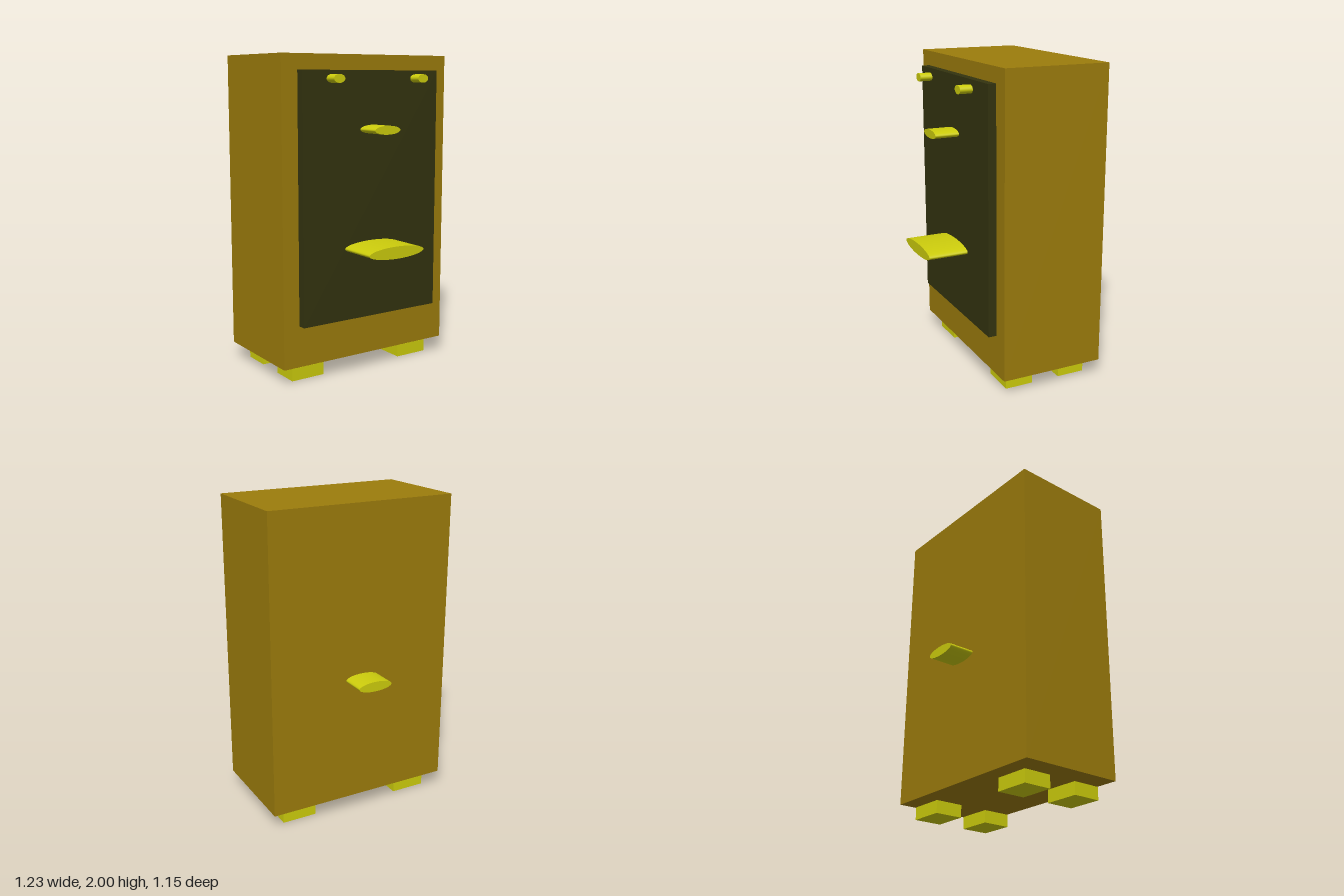
import * as THREE from 'three';

const mat = (name, color) => {
  const m = new THREE.MeshStandardMaterial({ color });
  m.name = name;
  return m;
};

export function createModel() {
  const group = new THREE.Group();
  const wood = mat('ochre wood', 0x9c7c0c);
  const dark = mat('dark olive', 0x33330f);
  const yellow = mat('yellow', 0xcccc0c);

  const add = (name, geometry, material, x, y, z) => {
    const mesh = new THREE.Mesh(geometry, material);
    mesh.name = name;
    mesh.position.set(x, y, z);
    group.add(mesh);
  };

  // Box given by its limits on each axis
  const box = (name, material, [x0, x1], [y0, y1], [z0, z1]) =>
    add(name, new THREE.BoxGeometry(x1 - x0, y1 - y0, z1 - z0), material,
      (x0 + x1) / 2, (y0 + y1) / 2, (z0 + z1) / 2);

  // Flattened cylinder lying along z, with an elliptical section
  const oval = (name, x, y, rx, ry, z0, z1) => {
    const g = new THREE.CylinderGeometry(1, 1, z1 - z0, 48);
    g.rotateX(Math.PI / 2).scale(rx, ry, 1);
    add(name, g, yellow, x, y, (z0 + z1) / 2);
  };

  // Cabinet and front panel
  box('cabinet', wood, [-0.615, 0.615], [0.105, 2], [-0.412, 0.265]);
  box('frontPanel', dark, [-0.506, 0.506], [0.365, 1.905], [0.264, 0.317]);

  // Speaker cones and rear port
  oval('woofer', 0, 0.817, 0.205, 0.038, 0.31, 0.573);
  oval('tweeter', 0, 1.548, 0.094, 0.027, 0.31, 0.472);
  oval('rearPort', 0, 0.911, 0.113, 0.031, -0.573, -0.405);

  // Small studs in front of the panel and four feet under the cabinet
  for (const s of [-1, 1]) {
    oval('stud', s * 0.312, 1.855, 0.039, 0.026, 0.338, 0.418);
    for (const z of [0.115, -0.257]) {
      box('foot', yellow, [s * 0.412 - 0.114, s * 0.412 + 0.114], [0, 0.08], [z - 0.092, z + 0.092]);
    }
  }
  return group;
}
